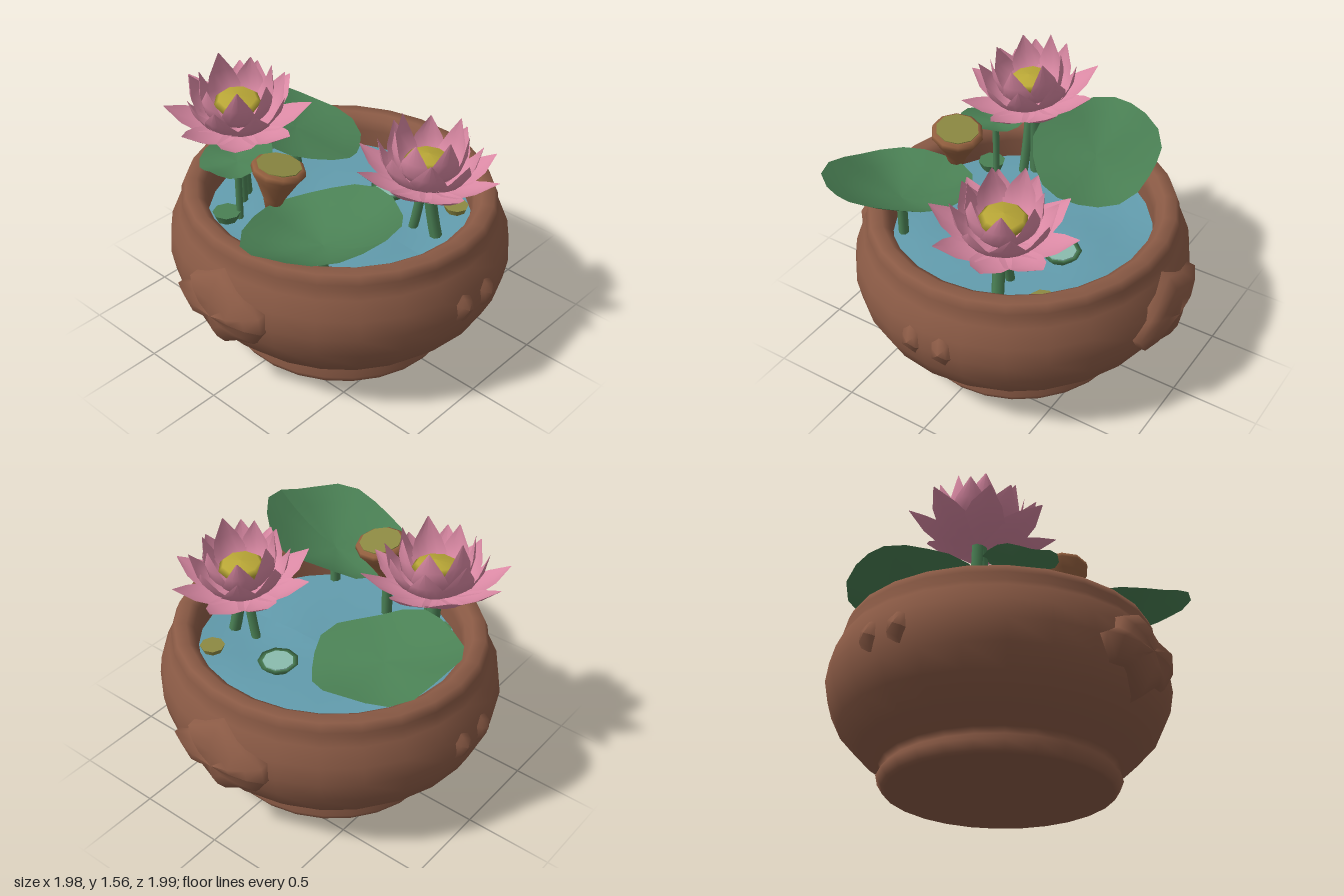
import * as THREE from 'three';

const mat = (name, color, side = THREE.FrontSide) => {
  const m = new THREE.MeshStandardMaterial({ color, side });
  m.name = name;
  return m;
};
const M = {
  clay: mat('clay brown', 0x8a5a45),
  water: mat('water blue', 0x629cad),
  green: mat('leaf green', 0x4a8054, THREE.DoubleSide),
  pink: mat('petal pink', 0xd988a3, THREE.DoubleSide),
  yellow: mat('stamen yellow', 0xb8a636),
  pod: mat('pod brown', 0x94603f),
  olive: mat('seed olive', 0x8c8942),
  pale: mat('pale bud green', 0x8abcae),
};
const WATER_Y = 0.72;

const mesh = (name, geo, material, x = 0, y = 0, z = 0) => {
  const m = new THREE.Mesh(geo, material);
  m.name = name;
  m.position.set(x, y, z);
  return m;
};
const lathe = (pts, sides) => new THREE.LatheGeometry(pts.map(p => new THREE.Vector2(...p)), sides);

// Smooth surface from a grid of points, rows x cols
function gridSurface(rows, cols, point) {
  const pos = [], idx = [];
  for (let i = 0; i <= rows; i++)
    for (let j = 0; j <= cols; j++) pos.push(...point(i / rows, j / cols));
  for (let i = 0; i < rows; i++)
    for (let j = 0; j < cols; j++) {
      const a = i * (cols + 1) + j, b = a + cols + 1;
      idx.push(a, b, b + 1, a, b + 1, a + 1);
    }
  const g = new THREE.BufferGeometry();
  g.setAttribute('position', new THREE.Float32BufferAttribute(pos, 3));
  g.setIndex(idx);
  g.computeVertexNormals();
  return g;
}

// Outer pot wall, from foot to rim: radius, height
const WALL = [[0.62, 0.01], [0.65, 0.06], [0.615, 0.1], [0.64, 0.13], [0.75, 0.21], [0.86, 0.33],
  [0.915, 0.45], [0.935, 0.57], [0.92, 0.68], [0.875, 0.78], [0.85, 0.82], [0.857, 0.86], [0.835, 0.91]];
function wallRadius(y) {
  for (let i = 1; i < WALL.length; i++) {
    const [r0, y0] = WALL[i - 1], [r1, y1] = WALL[i];
    if (y <= y1) return r0 + (r1 - r0) * (y - y0) / (y1 - y0);
  }
  return 0.83;
}

// Raised relief on the wall; outline is counterclockwise seen from outside.
// Each ring, from the edge inward, is [scale, lift, ripple].
function relief(name, angle, outline, rings) {
  const n = outline.length;
  const cu = outline.reduce((s, p) => s + p[0], 0) / n, cy = outline.reduce((s, p) => s + p[1], 0) / n;
  const g = gridSurface(rings.length - 1, n, (s, t) => {
    const j = (n - Math.round(t * n)) % n;
    const [scale, lift, ripple] = rings[Math.round(s * (rings.length - 1))];
    const u = cu + (outline[j][0] - cu) * scale, y = cy + (outline[j][1] - cy) * scale;
    const r = wallRadius(y) + lift + ripple * Math.sin(j * 2.2), a = angle + u / 0.94;
    return [Math.sin(a) * r, y, Math.cos(a) * r];
  });
  return mesh(name, g, M.clay);
}

function makePot() {
  const pot = new THREE.Group();
  pot.name = 'pot';
  pot.scale.z = 1.04;
  pot.add(mesh('bowl', lathe([[0, 0], [0.6, 0], ...WALL, [0.77, 0.91], [0.73, 0.88], [0.715, 0.82], [0.72, 0.64]], 26), M.clay));
  // Water with a gentle ripple
  const water = gridSurface(6, 24, (s, t) => {
    const a = t * Math.PI * 2, r = s * 0.725;
    return [Math.sin(a) * r, WATER_Y + 0.018 * Math.sin(3 * a + s * 6) * s, Math.cos(a) * r];
  });
  pot.add(mesh('water', water, M.water));
  // Large reliefs on the sides, small ones front and back
  const big = [[0.32, 0.55], [0.31, 0.66], [0.18, 0.7], [0, 0.8], [-0.2, 0.7], [-0.22, 0.63],
    [-0.33, 0.56], [-0.25, 0.43], [-0.15, 0.43], [0, 0.3], [0.15, 0.42], [0.25, 0.43]];
  const small = [[0.08, 0.56], [0.06, 0.66], [-0.01, 0.7], [-0.06, 0.64], [-0.06, 0.53], [0.03, 0.47]];
  for (const s of [1, -1]) {
    pot.add(relief('sideRelief', s * Math.PI / 2, big,
      [[1, -0.03, 0], [0.92, 0.03, 0.016], [0.65, 0.048, 0.014], [0.35, 0.054, 0.014], [0, 0.058, 0]]));
    for (const off of [-0.09, 0.11])
      pot.add(relief('smallRelief', (s > 0 ? 0 : Math.PI) + off, small,
        [[1, -0.02, 0], [0.6, 0.014, 0.008], [0, 0.028, 0]]));
  }
  return pot;
}

function stem(x, z, top, r = 0.03, dx = 0, dz = 0) {
  const base = WATER_Y - 0.04;
  const path = new THREE.QuadraticBezierCurve3(new THREE.Vector3(x + dx, base, z + dz),
    new THREE.Vector3(x + dx * 0.3, (top + base) / 2, z + dz * 0.3), new THREE.Vector3(x, top, z));
  return mesh('stem', new THREE.TubeGeometry(path, 4, r, 7), M.green);
}

// Broad pointed petal following a curve in radius and height
function petalGeometry([r0, y0], [r1, y1], [r2, y2], half, cup) {
  const curve = new THREE.QuadraticBezierCurve(new THREE.Vector2(r0, y0), new THREE.Vector2(r1, y1), new THREE.Vector2(r2, y2));
  const widths = [0.4, 0.8, 1, 0.72, 0.03];
  return gridSurface(4, 4, (s, t) => {
    const p = curve.getPoint(s), d = curve.getTangent(s);
    const side = t * 2 - 1, w = widths[Math.round(s * 4)], c = cup * w * side * side;
    return [side * half * w, p.y + d.x * c, p.x - d.y * c];
  });
}

function makeFlower(x, y, z, tiltX, tiltZ, turn) {
  const flower = new THREE.Group();
  flower.name = 'flower';
  flower.position.set(x, y, z);
  flower.rotation.set(tiltX, turn, tiltZ, 'XZY');
  const layers = [
    ['outerPetal', 8, 0, petalGeometry([0.03, 0], [0.23, -0.02], [0.4, 0.14], 0.11, 0.02)],
    ['middlePetal', 8, 0.5, petalGeometry([0.04, 0.02], [0.25, 0.02], [0.28, 0.26], 0.11, 0.025)],
    ['innerPetal', 7, 0.2, petalGeometry([0.05, 0.04], [0.23, 0.08], [0.2, 0.34], 0.1, 0.025)],
  ];
  for (const [name, n, shift, geo] of layers)
    for (let i = 0; i < n; i++) {
      const petal = mesh(name, geo, M.pink);
      petal.rotation.y = (i + shift) / n * Math.PI * 2;
      petal.scale.y = 1 + 0.06 * Math.sin(i * 2.4);
      flower.add(petal);
    }
  flower.add(mesh('flowerCentre', lathe([[0, 0.02], [0.05, 0.04], [0.13, 0.16], [0.105, 0.185], [0, 0.2]], 9), M.yellow));
  return flower;
}

// Round leaf: shallow bowl, leaning along x and z, with a wavy edge
function leaf(x, y, z, rx, rz, slopeX, slopeZ, bowl, phase) {
  const geo = gridSurface(4, 20, (s, t) => {
    const a = t * Math.PI * 2;
    const k = s * (1 + 0.04 * Math.sin(5 * a + phase));
    const px = Math.sin(a) * rx * k, pz = Math.cos(a) * rz * k;
    return [px, slopeX * px + slopeZ * pz + bowl * s * s + 0.018 * s * s * Math.sin(4 * a + phase), pz];
  });
  return mesh('leaf', geo, M.green, x, y, z);
}

export function createModel() {
  const model = new THREE.Group();
  model.name = 'lotusPot';
  model.add(makePot());

  // Flowers with paired stems
  model.add(makeFlower(0.17, 1.01, 0.47, 0.02, -0.08, 0.3));
  model.add(stem(0.17, 0.49, 1.05, 0.035, 0.02, 0.06), stem(0.17, 0.45, 1.02, 0.027, 0, -0.06));
  model.add(makeFlower(-0.26, 1.18, -0.51, 0.1, 0.1, 0));
  model.add(stem(-0.26, -0.51, 1.23, 0.038, 0.03, 0), stem(-0.27, -0.5, 1.2, 0.028, -0.03, 0.04));

  // Leaves
  model.add(leaf(-0.54, 0.96, 0.39, 0.4, 0.41, 0.03, 0.23, 0.13, 0.4), stem(-0.54, 0.39, 0.94));
  model.add(leaf(0.17, 0.98, -0.5, 0.35, 0.41, -0.2, -0.21, 0.045, 2.2), stem(0.17, -0.5, 0.96));
  model.add(leaf(-0.42, 1.08, -0.36, 0.2, 0.2, 0.15, 0.08, 0.04, 1), stem(-0.42, -0.36, 1.06, 0.02));

  // Seed pod
  const pod = new THREE.Group();
  pod.name = 'seedPod';
  pod.position.set(-0.48, 0.935, -0.04);
  pod.rotation.set(0.1, 0, -0.14);
  pod.add(mesh('podShell', lathe([[0, 0], [0.035, 0.01], [0.06, 0.09], [0.115, 0.2], [0.147, 0.25], [0.143, 0.275], [0.12, 0.285], [0, 0.28]], 10), M.pod));
  pod.add(mesh('podTop', new THREE.CylinderGeometry(0.12, 0.12, 0.009, 10), M.olive, 0, 0.286, 0));
  model.add(pod, stem(-0.48, -0.04, 0.96, 0.032));

  // Small floating pads
  model.add(mesh('padRim', lathe([[0, 0], [0.07, 0], [0.115, 0.05], [0.085, 0.045], [0, 0.035]], 9), M.green, 0.31, WATER_Y, 0.11));
  model.add(mesh('padCentre', new THREE.CylinderGeometry(0.086, 0.086, 0.009, 9), M.pale, 0.31, WATER_Y + 0.048, 0.11));
  model.add(mesh('olivePad', new THREE.CylinderGeometry(0.07, 0.05, 0.05, 8), M.olive, 0.43, WATER_Y + 0.02, 0.49));
  model.add(mesh('greenPad', new THREE.CylinderGeometry(0.08, 0.06, 0.05, 8), M.green, -0.48, WATER_Y + 0.02, -0.4));
  return model;
}
